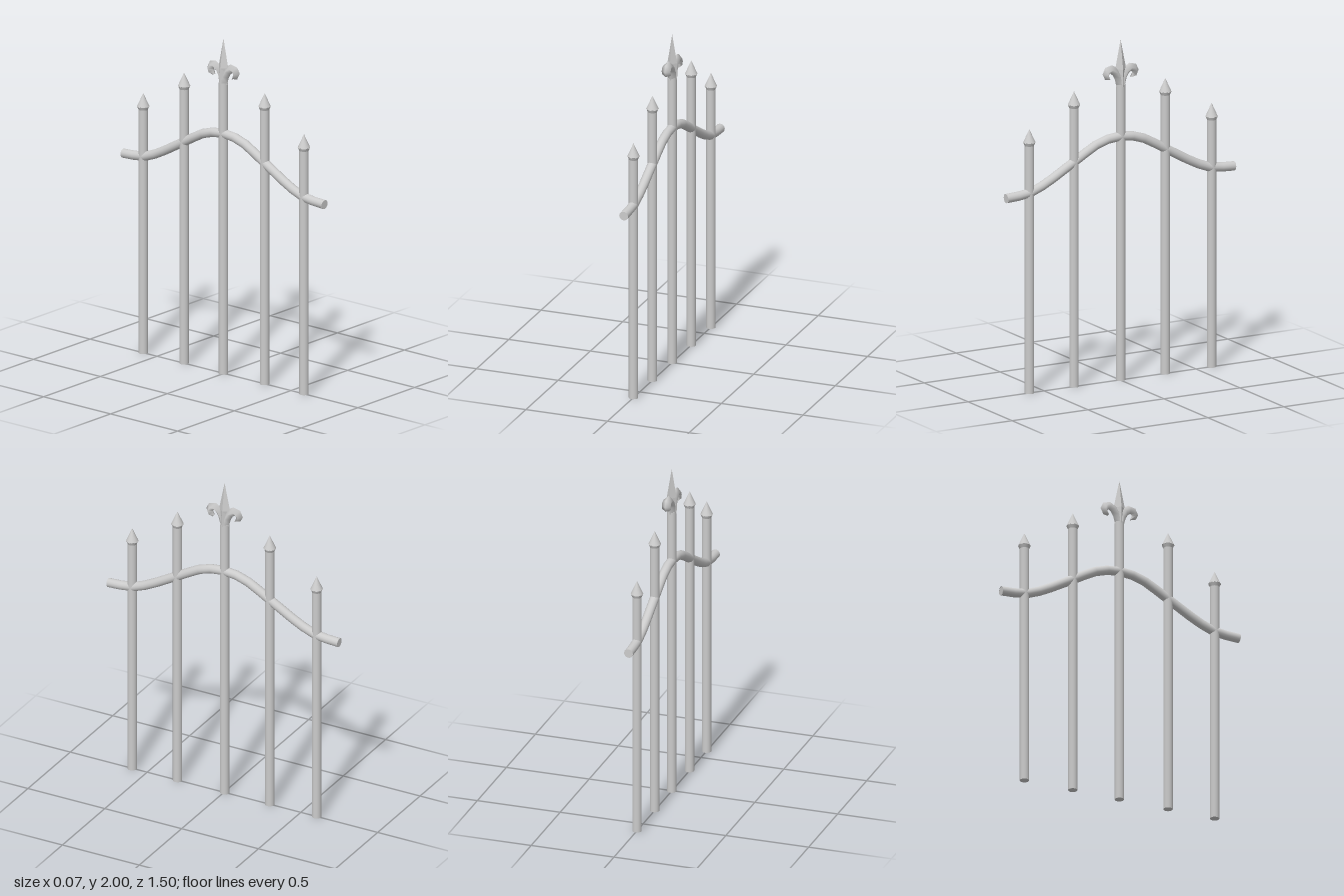
import * as THREE from 'three';

const material = new THREE.MeshStandardMaterial({ color: 0xcccccc, side: THREE.DoubleSide });
const flatMaterial = new THREE.MeshStandardMaterial({ color: 0xcccccc, flatShading: true, side: THREE.DoubleSide });
const RADIUS = 0.027;

function add(parent, name, geometry, mat = material) {
  const mesh = new THREE.Mesh(geometry, mat);
  mesh.name = name;
  parent.add(mesh);
  return mesh;
}

// Loft of diamond sections [z, y, half thickness] along a path in the z-y plane
function diamondLoft(sections, halfWidth) {
  const pos = [], index = [];
  sections.forEach(([z, y, t, w = halfWidth], i) => {
    const a = sections[Math.max(i - 1, 0)], b = sections[Math.min(i + 1, sections.length - 1)];
    const len = Math.hypot(b[0] - a[0], b[1] - a[1]);
    const nz = -(b[1] - a[1]) / len * t, ny = (b[0] - a[0]) / len * t;
    pos.push(w, y, z, 0, y + ny, z + nz, -w, y, z, 0, y - ny, z - nz);
    if (i === 0) return;
    for (let k = 0; k < 4; k++) {
      const p = (i - 1) * 4 + k, q = (i - 1) * 4 + (k + 1) % 4;
      index.push(p, q, p + 4, q, q + 4, p + 4);
    }
  });
  const g = new THREE.BufferGeometry();
  g.setAttribute('position', new THREE.Float32BufferAttribute(pos, 3));
  g.setIndex(index);
  g.computeVertexNormals();
  return g;
}

export function createModel() {
  const model = new THREE.Group();
  model.name = 'fencePanel';

  // Uprights: [z, shaft top]; the middle one carries the ornament
  const posts = [[0.597, 1.455], [0.303, 1.64], [-0.004, 1.74], [-0.298, 1.64], [-0.603, 1.455]];
  posts.forEach(([z, top], i) => {
    const post = new THREE.Group();
    post.name = 'post' + (i + 1);
    post.position.z = z;
    model.add(post);
    add(post, 'shaft', new THREE.CylinderGeometry(RADIUS, RADIUS, top, 16)).position.y = top / 2;
    if (i === 2) return;
    // Pointed cap with a short flared collar
    add(post, 'capCollar', new THREE.CylinderGeometry(0.036, RADIUS, 0.02, 16)).position.y = top + 0.01;
    add(post, 'capPoint', new THREE.ConeGeometry(0.036, 0.08, 16)).position.y = top + 0.058;
  });

  // Arched rail threading the uprights
  const half = [[0.6, 1.175], [0.5, 1.213], [0.3, 1.323], [0.13, 1.413]];
  const rightEnd = [[0.75, 1.163], ...half];
  const line = [...rightEnd, [0, 1.434], ...rightEnd.slice().reverse().map(([z, y]) => [-z, y])];
  const curve = new THREE.CatmullRomCurve3(line.map(([z, y]) => new THREE.Vector3(0, y, z)));
  add(model, 'rail', new THREE.TubeGeometry(curve, 20, RADIUS, 14));
  for (const s of [1, -1]) {
    const cap = add(model, 'railEnd', new THREE.CircleGeometry(RADIUS, 14));
    cap.position.set(0, 1.163, s * 0.75);
    cap.rotation.y = s > 0 ? 0 : Math.PI;
  }

  // Spearhead with two curled petals
  const finial = new THREE.Group();
  finial.name = 'finial';
  finial.position.z = -0.004;
  model.add(finial);
  add(finial, 'spear', diamondLoft([
    [0, 1.73, 0.03], [0, 1.79, 0.03], [0, 1.83, 0.036], [0, 2.0, 0.0005, 0.0005],
  ], 0.029), flatMaterial);
  const petal = [
    [0.008, 1.74, 0.022], [0.014, 1.78, 0.026], [0.033, 1.815, 0.026], [0.062, 1.834, 0.025],
    [0.086, 1.828, 0.025], [0.096, 1.808, 0.023], [0.09, 1.788, 0.016], [0.07, 1.774, 0.002, 0.012],
  ];
  for (const s of [1, -1]) {
    add(finial, s > 0 ? 'frontPetal' : 'backPetal', diamondLoft(petal, RADIUS)).rotation.y = s > 0 ? 0 : Math.PI;
  }
  return model;
}
